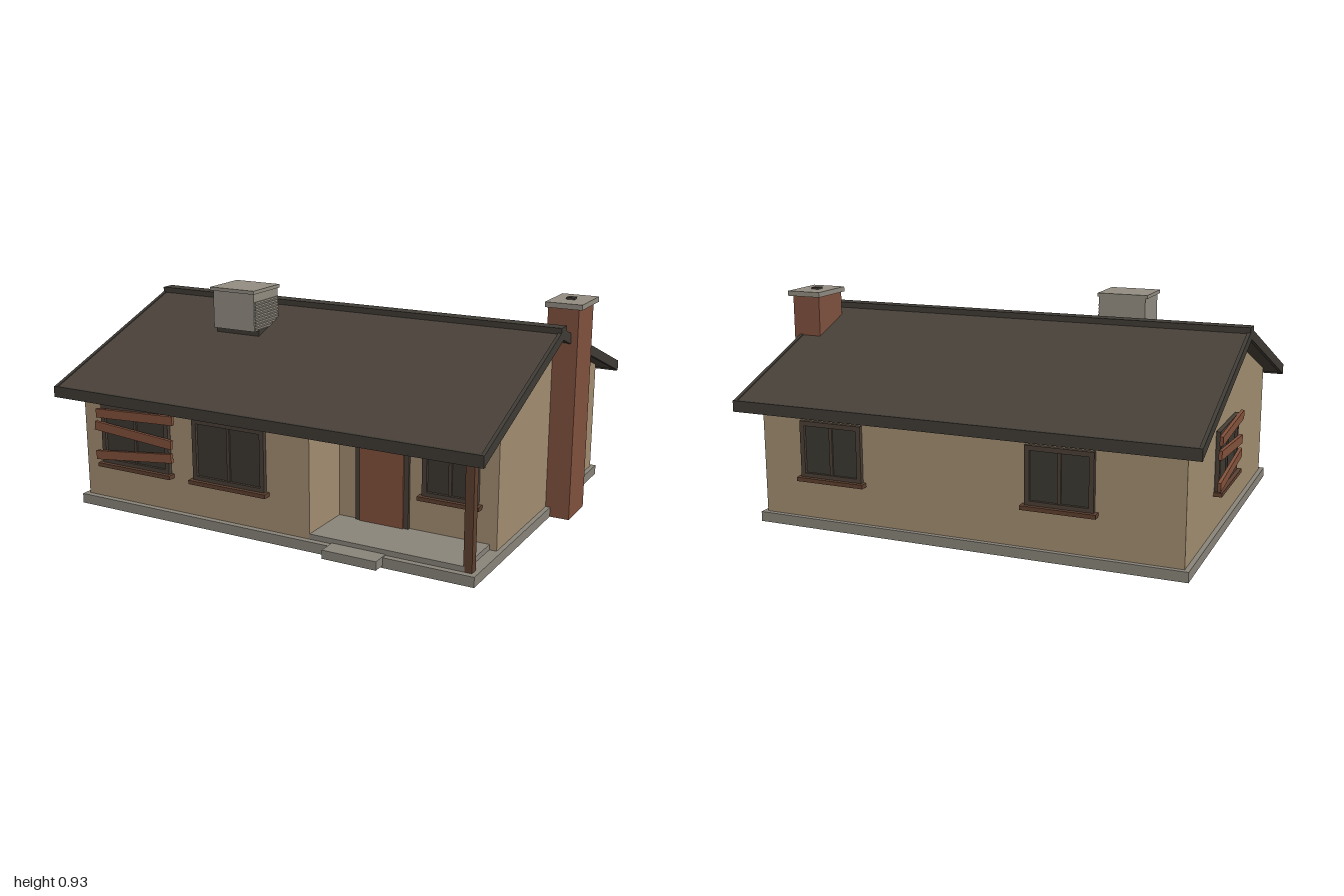
import * as THREE from 'three';

const mat = (name, color) => {
  const m = new THREE.MeshStandardMaterial({ color });
  m.name = name;
  return m;
};

export function createModel() {
  const house = new THREE.Group();
  house.name = 'house';

  const stucco = mat('tan stucco', 0xa38e71);
  const brick = mat('red brick', 0x80523f);
  const concrete = mat('grey concrete', 0x8a857b);
  const metal = mat('light grey metal', 0x938d82);
  const shingle = mat('dark brown shingle', 0x484038);
  const trim = mat('dark roof trim', 0x403c36);
  const wood = mat('brown wood', 0x5f4030);
  const plank = mat('reddish plank', 0x84523c);
  const frameMat = mat('dark window frame', 0x4a3f36);
  const glass = mat('dark glass', 0x3d3932);

  // Box given by its minimum and maximum corners
  function box(name, material, x0, x1, y0, y1, z0, z1, parent = house) {
    const m = new THREE.Mesh(new THREE.BoxGeometry(x1 - x0, y1 - y0, z1 - z0), material);
    m.position.set((x0 + x1) / 2, (y0 + y1) / 2, (z0 + z1) / 2);
    m.name = name;
    parent.add(m);
    return m;
  }

  // Prism along x from a [z, y] outline
  function prism(name, material, outline, x0, x1) {
    const shape = new THREE.Shape(outline.map(([z, y]) => new THREE.Vector2(z, y)));
    const g = new THREE.ExtrudeGeometry(shape, { depth: x1 - x0, bevelEnabled: false });
    g.rotateY(-Math.PI / 2);
    g.translate(x1, 0, 0);
    const m = new THREE.Mesh(g, material);
    m.name = name;
    house.add(m);
  }

  // Foundation, porch slab and step
  box('foundation', concrete, -0.945, 0.9, 0, 0.042, -0.72, 0.725);
  box('porchSlab', concrete, 0.19, 0.85, 0.04, 0.064, 0.455, 0.7);
  box('frontStep', concrete, 0.29, 0.525, 0.01, 0.046, 0.7, 0.78);

  // Walls: full section on the left, recessed porch section on the right
  prism('mainWalls', stucco,
    [[-0.7, 0.04], [0.7, 0.04], [0.7, 0.535], [0, 0.8], [-0.7, 0.535]], -0.925, 0.19);
  prism('porchWalls', stucco,
    [[-0.7, 0.04], [0.46, 0.04], [0.46, 0.55], [0.66, 0.55], [0, 0.8], [-0.7, 0.535]], 0.19, 0.88);
  box('porchPost', wood, 0.845, 0.88, 0.04, 0.53, 0.665, 0.7);
  box('porchBeam', wood, 0.19, 0.88, 0.508, 0.54, 0.665, 0.7);

  // Roof with gable trim, eave boards and ridge cap
  const chevron = (lift, drop) => [[0.8, 0.492 - drop], [0.8, 0.531 + lift], [0, 0.828 + lift],
    [-0.8, 0.531 + lift], [-0.8, 0.492 - drop], [0, 0.79 - drop]];
  prism('roof', shingle, chevron(0, 0), -0.99, 0.945);
  prism('gableTrim', trim, chevron(0.004, 0.002), -1, -0.985);
  prism('gableTrim', trim, chevron(0.004, 0.002), 0.94, 0.955);
  for (const s of [-1, 1]) {
    const z = s * 0.794;
    box('eaveBoard', trim, -1, 0.955, 0.49, 0.537, z - 0.008, z + 0.008);
  }
  box('ridgeCap', trim, -1, 0.955, 0.8, 0.841, -0.032, 0.03);

  // Chimney
  box('chimney', brick, 0.853, 0.983, 0, 0.896, -0.28, -0.09);
  box('chimneyCap', metal, 0.843, 1, 0.898, 0.92, -0.295, -0.078);
  box('chimneyFlue', trim, 0.9, 0.935, 0.91, 0.928, -0.207, -0.172);

  // Rooftop cooler with louvres on its side and a duct behind
  box('coolerBase', trim, -0.52, -0.305, 0.7, 0.752, 0.13, 0.28);
  box('coolerBody', metal, -0.515, -0.308, 0.748, 0.912, 0.12, 0.31);
  box('coolerLid', metal, -0.525, -0.302, 0.911, 0.926, 0.115, 0.318);
  box('coolerDuct', metal, -0.46, -0.365, 0.76, 0.808, 0.06, 0.125);
  for (let i = 0; i < 9; i++) {
    const y = 0.755 + i * 0.014;
    box('coolerLouvre', metal, -0.31, -0.303, y, y + 0.008, 0.125, 0.305);
  }

  // Door in its frame
  box('doorFrame', frameMat, 0.27, 0.508, 0.064, 0.512, 0.455, 0.472);
  box('door', plank, 0.293, 0.487, 0.064, 0.492, 0.46, 0.478);

  // Window built facing +z around its own centre; optional planks nailed across
  function addWindow(name, x, y, z, turn, w, h, boarded = false) {
    const g = new THREE.Group();
    g.name = name;
    const a = w / 2, b = h / 2, t = 0.02;
    box('glass', glass, -a, a, -b, b, -0.005, 0.006, g);
    box('frameTop', frameMat, -a, a, b - t, b, 0, 0.018, g);
    box('frameBottom', frameMat, -a, a, -b, -b + t, 0, 0.018, g);
    for (const s of [-1, 1]) {
      box('frameSide', frameMat, s * (a - t / 2) - t / 2, s * (a - t / 2) + t / 2, -b, b, 0, 0.018, g);
    }
    box('mullion', frameMat, -0.007, 0.007, -b, b, 0, 0.013, g);
    box('sill', wood, -a - 0.013, a + 0.013, -b - 0.014, -b + 0.003, 0, 0.035, g);
    if (boarded) {
      [[0.1, 0.05], [0.02, -0.075], [-0.075, 0.11]].forEach(([py, tilt], i) => {
        const p = box('plank', plank, -0.2, 0.2, py - 0.019, py + 0.019, 0.018, 0.032, g);
        p.position.x = i === 0 ? 0.01 : 0;
        p.rotation.z = tilt;
      });
    }
    g.position.set(x, y, z);
    g.rotation.y = turn;
    house.add(g);
  }
  addWindow('boardedFrontWindow', -0.65, 0.333, 0.7, 0, 0.35, 0.263, true);
  addWindow('frontWindow', -0.18, 0.333, 0.7, 0, 0.345, 0.263);
  addWindow('porchWindow', 0.685, 0.337, 0.46, 0, 0.235, 0.243);
  addWindow('backWindow', 0.555, 0.337, -0.7, Math.PI, 0.28, 0.24);
  addWindow('backWindow', -0.435, 0.337, -0.7, Math.PI, 0.28, 0.24);
  addWindow('boardedSideWindow', -0.925, 0.333, -0.08, -Math.PI / 2, 0.35, 0.25, true);

  return house;
}
